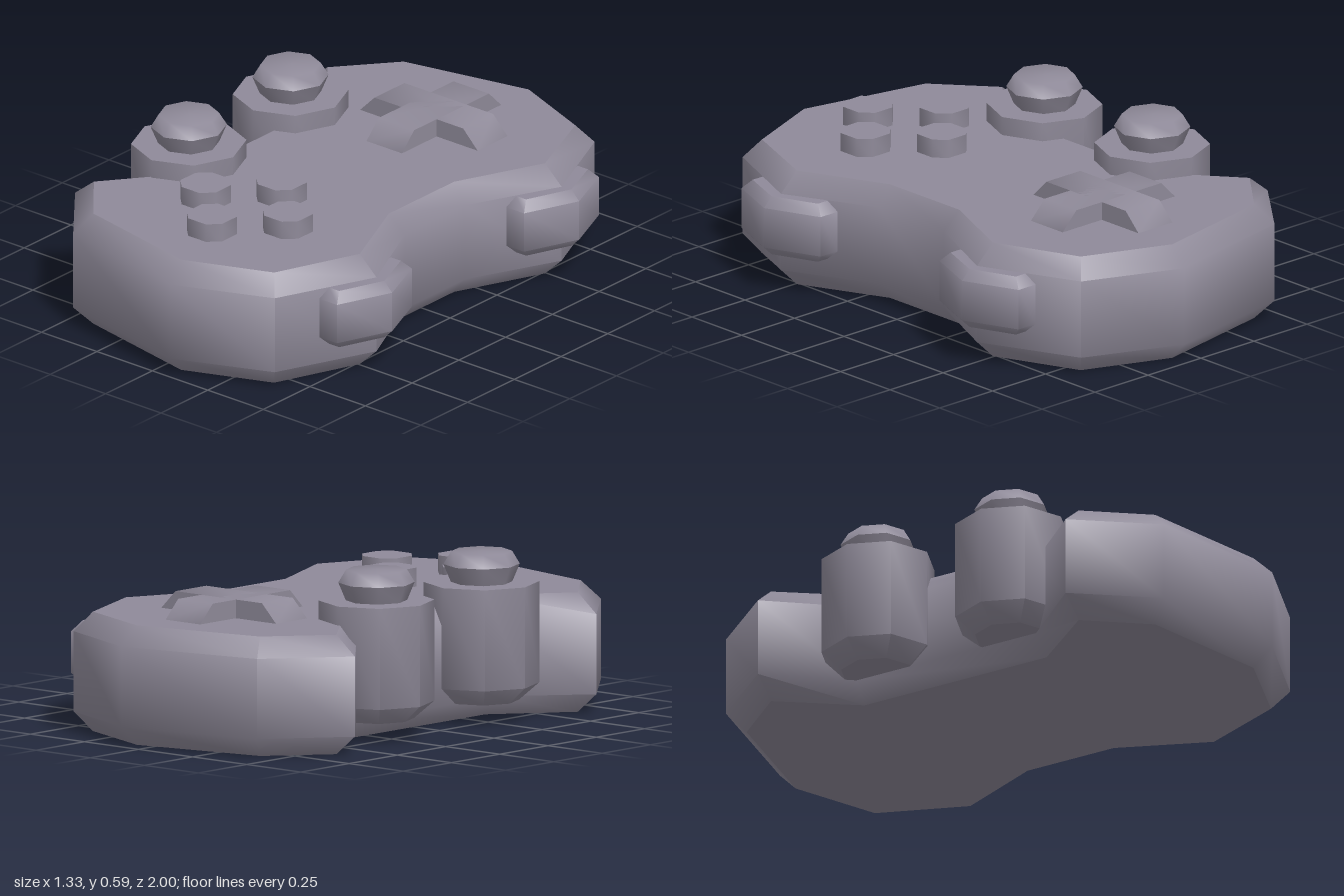
import * as THREE from 'three';
import { mergeGeometries, toCreasedNormals } from 'three/addons/utils/BufferGeometryUtils.js';

const grey = new THREE.MeshStandardMaterial({ color: 0x8f8a99 });
grey.name = 'grey plastic';

function add(parent, name, geometry, x = 0, y = 0, z = 0) {
  const mesh = new THREE.Mesh(geometry, grey);
  mesh.name = name;
  mesh.position.set(x, y, z);
  parent.add(mesh);
  return mesh;
}

function fromPositions(positions) {
  const g = new THREE.BufferGeometry();
  g.setAttribute('position', new THREE.Float32BufferAttribute(positions, 3));
  g.computeVertexNormals();
  return g;
}

// Solid stacked from [y, loop] layers, each loop [x, z] points clockwise from above.
// Walls are smooth, the two flat caps keep a sharp rim.
function layered(layers, crease = 1.0) {
  const wall = [], caps = [];
  const n = layers[0][1].length;
  const point = (k, i) => {
    const p = layers[k][1][i % n];
    return [p[0], layers[k][0], p[1]];
  };
  for (let k = 0; k + 1 < layers.length; k++) {
    for (let i = 0; i < n; i++) {
      const a = point(k, i), b = point(k, i + 1), c = point(k + 1, i + 1), d = point(k + 1, i);
      wall.push(...a, ...d, ...c, ...a, ...c, ...b);
    }
  }
  [[0, -1], [layers.length - 1, 1]].forEach(([k, side]) => {
    const flat = layers[k][1].map(p => new THREE.Vector2(p[0], p[1]));
    for (const [i, j, l] of THREE.ShapeUtils.triangulateShape(flat, [])) {
      const a = flat[i], b = flat[j], c = flat[l];
      // A positive turn in x-z faces down
      const turn = (b.x - a.x) * (c.y - a.y) - (b.y - a.y) * (c.x - a.x);
      const order = turn * side < 0 ? [i, j, l] : [i, l, j];
      order.forEach(q => caps.push(...point(k, q)));
    }
  });
  return mergeGeometries([toCreasedNormals(fromPositions(wall), crease), fromPositions(caps)]);
}

// Completes a +z half outline with its mirror image
const mirrorZ = half => [...half, ...half.slice().reverse().map(([x, z]) => [x, -z])];

function ring(radius, sides = 8) {
  return Array.from({ length: sides }, (_, i) => {
    const a = i / sides * Math.PI * 2;
    return [radius * Math.cos(a), radius * Math.sin(a)];
  });
}

// Bar with sloped ends, long along x, centred
function crossBar() {
  const s = new THREE.Shape();
  s.moveTo(-0.265, -0.02);
  s.lineTo(0.265, -0.02);
  s.lineTo(0.265, 0);
  s.lineTo(0.2, 0.065);
  s.lineTo(-0.2, 0.065);
  s.lineTo(-0.265, 0);
  s.closePath();
  const g = new THREE.ExtrudeGeometry(s, { depth: 0.16, bevelEnabled: false });
  g.translate(0, 0, -0.08);
  return toCreasedNormals(g, 0.85);
}

export function createModel() {
  const model = new THREE.Group();
  model.name = 'gamepad';

  // Body with bevelled top and bottom rims
  const outer = mirrorZ([[0.43, 0.16], [0.585, 0.495], [0.43, 0.855], [0.08, 1],
    [-0.45, 0.89], [-0.665, 0.625], [-0.44, 0.365]]);
  const inner = mirrorZ([[0.37, 0.175], [0.51, 0.495], [0.385, 0.805], [0.07, 0.93],
    [-0.41, 0.83], [-0.58, 0.625], [-0.38, 0.37]]);
  add(model, 'body', layered([[0, inner], [0.07, outer], [0.35, outer], [0.417, inner]]));

  // Thumbsticks on their round bases, and shoulder buttons
  const base = layered([[0.07, ring(0.13)], [0.13, ring(0.2)], [0.483, ring(0.2)]]);
  const stem = layered([[0.48, ring(0.105)], [0.545, ring(0.132)]]);
  const dome = new THREE.LatheGeometry([[0.132, 0.545], [0.105, 0.59], [0, 0.592]]
    .map(([r, y]) => new THREE.Vector2(r, y)), 8);
  dome.rotateY(Math.PI / 2);
  const full = [[0.5, -0.2], [0.58, -0.2], [0.66, 0], [0.58, 0.2], [0.5, 0.2]];
  const inset = [[0.515, -0.165], [0.56, -0.165], [0.625, 0], [0.56, 0.165], [0.515, 0.165]];
  const shoulder = layered([[0.137, inset], [0.17, full], [0.315, full], [0.35, inset]]);

  for (const [side, z] of [['left', 1], ['right', -1]]) {
    const stick = new THREE.Group();
    stick.name = side + 'Thumbstick';
    stick.position.set(-0.45, 0, z * 0.272);
    add(stick, 'stickBase', base);
    add(stick, 'stickStem', stem);
    add(stick, 'stickCap', dome);
    model.add(stick);
    add(model, side + 'ShoulderButton', shoulder, 0, 0, z * 0.5);
  }

  // Directional cross
  const cross = new THREE.Group();
  cross.name = 'directionalPad';
  cross.position.set(0, 0.417, -0.505);
  const bar = crossBar();
  add(cross, 'crossBarX', bar);
  add(cross, 'crossBarZ', bar).rotation.y = Math.PI / 2;
  model.add(cross);

  // Four action buttons, squares with cut corners
  const h = 0.08, c = 0.04;
  const cut = [[h, -c], [h, c], [c, h], [-c, h], [-h, c], [-h, -c], [-c, -h], [c, -h]];
  const button = layered([[0.4, cut], [0.483, cut]]);
  for (const [x, z] of [[0, -1], [1, 0], [0, 1], [-1, 0]]) {
    add(model, 'actionButton', button, x * 0.186, 0, 0.495 + z * 0.186);
  }
  return model;
}
